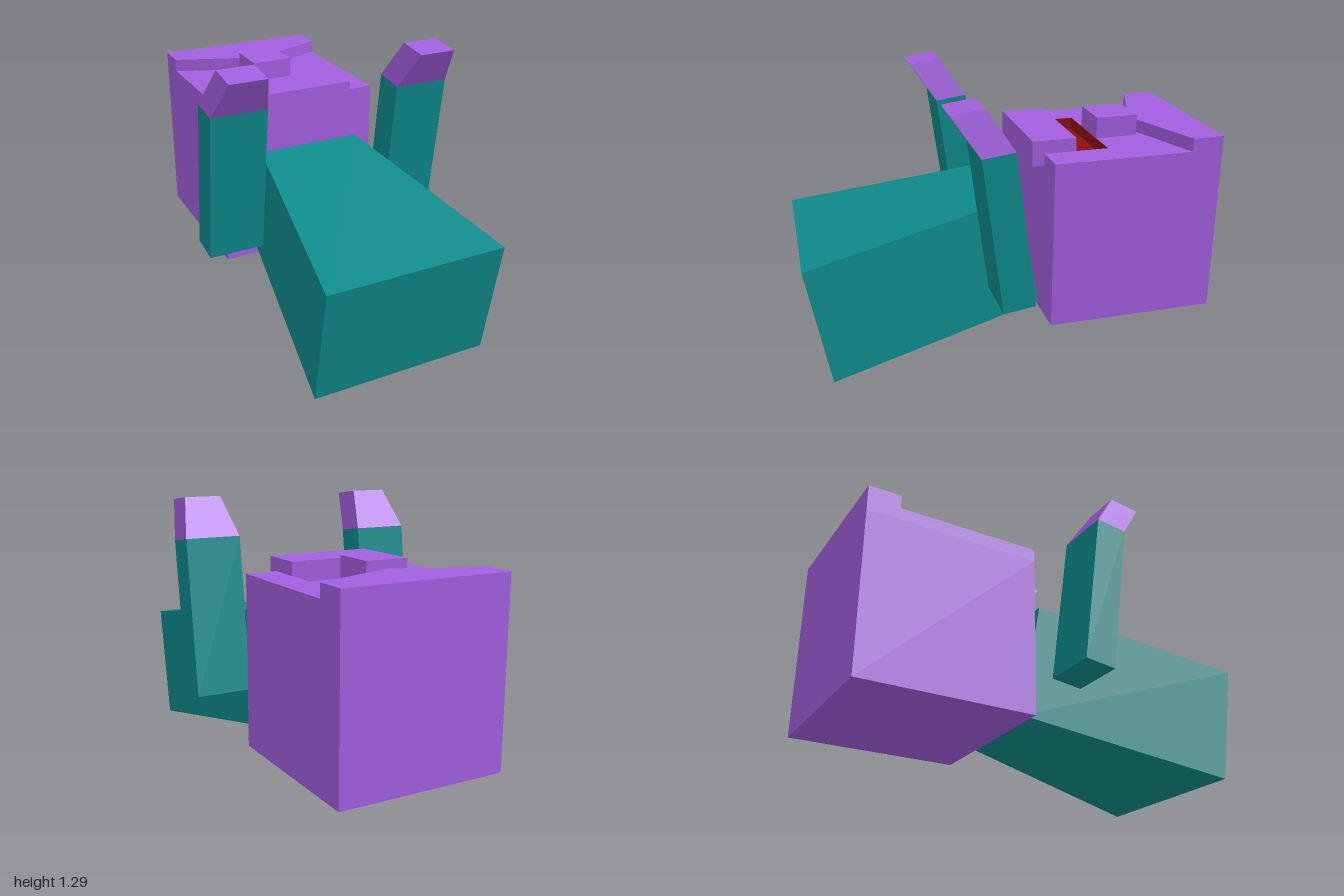
import * as THREE from 'three';

const teal = new THREE.MeshStandardMaterial({ color: 0x0e8c8c, flatShading: true });
const purple = new THREE.MeshStandardMaterial({ color: 0xa35fe0, flatShading: true });
const red = new THREE.MeshStandardMaterial({ color: 0x8b1010, flatShading: true });

function part(name, geometry, material) {
  const mesh = new THREE.Mesh(geometry, material);
  mesh.name = name;
  return mesh;
}

// Box given by its lower and upper limits on each axis
function span(x0, x1, y0, y1, z0, z1) {
  return new THREE.BoxGeometry(x1 - x0, y1 - y0, z1 - z0)
    .translate((x0 + x1) / 2, (y0 + y1) / 2, (z0 + z1) / 2);
}

// Box whose corners follow a side outline of [z, y, half width] points:
// bottom back, bottom front, top back, top front
function wedge(corners, centreX = 0) {
  const geo = new THREE.BoxGeometry(2, 2, 2);
  const p = geo.attributes.position;
  for (let i = 0; i < p.count; i++) {
    const [z, y, w] = corners[(p.getY(i) > 0 ? 2 : 0) + (p.getZ(i) > 0 ? 1 : 0)];
    p.setXYZ(i, centreX + p.getX(i) * w, y, z);
  }
  geo.computeVertexNormals();
  return geo;
}

// Flat plate from an [x, z] outline, raised from y0 to y1
function plate(outline, y0, y1) {
  const shape = new THREE.Shape(outline.map(([x, z]) => new THREE.Vector2(x, -z)));
  return new THREE.ExtrudeGeometry(shape, { depth: y1 - y0, bevelEnabled: false })
    .rotateX(-Math.PI / 2).translate(0, y0, 0);
}

export function createModel() {
  const model = new THREE.Group();
  model.name = 'model';

  // Tapered, tilted body
  model.add(part('body', wedge([
    [-0.14, 0.185, 0.262], [0.9, 0, 0.435], [-0.04, 0.76, 0.262], [1, 0.58, 0.435],
  ]), teal));

  // Arms with tapered, bent hands
  for (const [side, s] of [['left', 1], ['right', -1]]) {
    const arm = new THREE.Group();
    arm.name = side + 'Arm';
    const x = s * 0.474;
    arm.add(part(side + 'UpperArm', wedge([
      [-0.018, 0.363, 0.137], [0.135, 0.343, 0.137], [0.08, 1.11, 0.137], [0.232, 1.09, 0.137],
    ], x), teal));
    arm.add(part(side + 'Hand', wedge([
      [0.08, 1.11, 0.137], [0.232, 1.09, 0.137], [0.202, 1.295, 0.09], [0.355, 1.275, 0.09],
    ], x), purple));
    model.add(arm);
  }

  // Head block, with a mouth recess cut into its upper layer
  const head = new THREE.Group();
  head.name = 'head';
  const W = 0.417, M = 0.262;
  head.add(part('headBlock', span(-W, W, 0.13, 0.905, -1, -0.16), purple));
  head.add(part('headUpperLayer', plate([
    [-W, -0.16], [-M, -0.16], [-M, -0.48], [M, -0.48], [M, -0.16], [W, -0.16], [W, -1], [-W, -1],
  ], 0.905, 0.965), purple));

  // Red lining of the mouth
  const t = 0.003;
  head.add(part('mouthFloor', span(-M, M, 0.905, 0.905 + t, -0.48, -0.317), red));
  head.add(part('mouthBackWall', span(-M, M, 0.905, 0.964, -0.48, -0.48 + t), red));
  for (const s of [-1, 1]) {
    const a = s * M, b = s * (M - t);
    head.add(part('mouthSideWall',
      span(Math.min(a, b), Math.max(a, b), 0.905, 0.964, -0.48, -0.317), red));
  }

  // Lip, nose and pointed brow
  head.add(part('lip', span(-M, M, 0.905, 1.03, -0.317, -0.1), purple));
  head.add(part('nose', span(-0.105, 0.105, 0.965, 1.07, -0.69, -0.48), purple));
  head.add(part('brow', plate([
    [-W, -0.845], [0, -0.69], [W, -0.845], [W, -1], [-W, -1],
  ], 0.965, 1.03), purple));
  model.add(head);

  return model;
}
